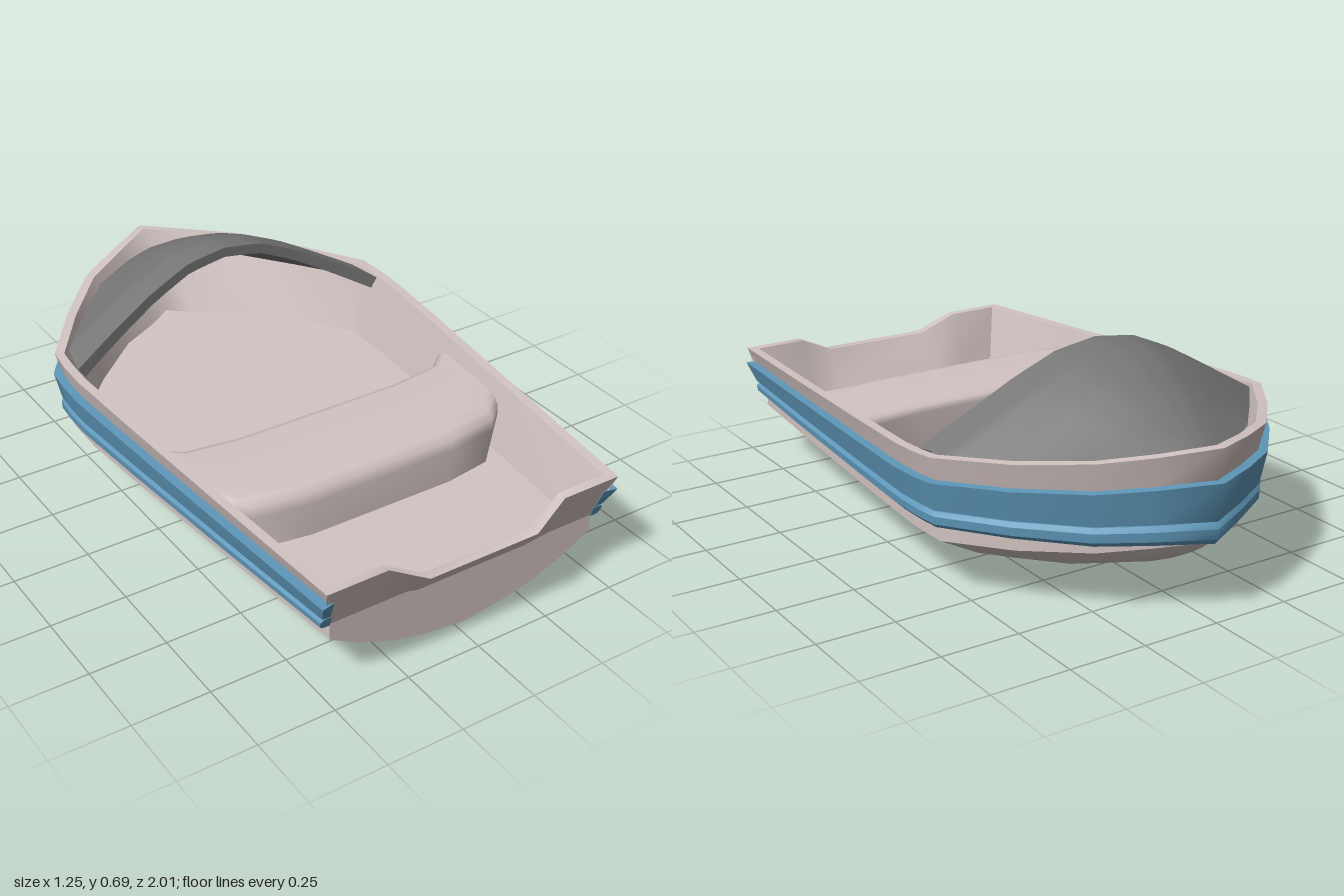
import * as THREE from 'three';

const mat = (color) => new THREE.MeshStandardMaterial({ color, side: THREE.DoubleSide, roughness: 0.8 });
const lerp = THREE.MathUtils.lerp;

// Piecewise linear lookup in [[key, value], ...] with rising keys
function lookup(table, k) {
  for (let i = 1; i < table.length; i++) {
    const [a, va] = table[i - 1], [b, vb] = table[i];
    if (k <= b) return lerp(va, vb, Math.max(0, (k - a) / (b - a)));
  }
  return table[table.length - 1][1];
}

// Smooth surface through rows of [x, y, z] points
function loft(rows) {
  const n = rows[0].length, index = [];
  for (let r = 0; r < rows.length - 1; r++) for (let c = 0; c < n - 1; c++) {
    const a = r * n + c, b = a + n;
    index.push(a, a + 1, b, b, a + 1, b + 1);
  }
  const g = new THREE.BufferGeometry();
  g.setAttribute('position', new THREE.Float32BufferAttribute(rows.flat(2), 3));
  g.setIndex(index);
  g.computeVertexNormals();
  return g;
}

// Gunwale outline from stern to bow: z, half width, height
const outline = [
  [0.97, 0.512, 0.385], [0.5, 0.552, 0.405], [0, 0.594, 0.428], [-0.28, 0.614, 0.44],
  [-0.38, 0.612, 0.445], [-0.46, 0.603, 0.45], [-0.65, 0.465, 0.462], [-0.825, 0.305, 0.485],
  [-0.915, 0.16, 0.502], [-1, 0, 0.525],
];
const rimWidth = (z) => lookup(outline.map((s) => [-s[0], s[1]]), -z);
const rise = (s) => (s[2] - 0.385) / 0.14;
const bow = (s) => Math.max(0, (-s[0] - 0.46) / 0.54);

// One half of the outline, moved inward by d, at height y, ending at sternZ
function halfLayer(d, y, sternZ) {
  return outline.map((s, i) => {
    const a = outline[Math.max(0, i - 1)];
    const b = outline[i + 1] || [a[0], -a[1]];
    const tx = b[1] - a[1], tz = b[0] - a[0], l = Math.hypot(tx, tz);
    const off = typeof d === 'function' ? d(s) : d;
    const x = i === outline.length - 1 ? 0 : s[1] + tz / l * off;
    return [x, y(s), i === 0 ? sternZ : s[0] - tx / l * off];
  });
}
const mirrorX = ([x, y, z]) => [-x, y, z];
const layer = (...args) => {
  const h = halfLayer(...args);
  return [...h, ...h.slice(0, -1).reverse().map(mirrorX)];
};

export function createModel() {
  const boat = new THREE.Group();
  boat.name = 'boat';
  const cream = mat(0xd2c4c2), blue = mat(0x5f98ba), dark = mat(0x777777);
  const add = (name, material, rows) => {
    const m = new THREE.Mesh(loft(rows), material);
    m.name = name;
    boat.add(m);
  };

  // Heights of the side bands
  const yRim = (s) => s[2];
  const yBand = (s) => 0.335 + 0.09 * rise(s);
  const yGap = (s) => 0.272 + 0.033 * rise(s);
  const yLow = (s) => 0.23 + 0.005 * rise(s);
  const yChine = (s) => 0.18 + 0.05 * bow(s) ** 2;
  const yFloor = (s) => 0.2 + 0.06 * bow(s);
  const dFloor = (s) => 0.075 + 0.1 * bow(s);

  // Gunwale, inner lining and floor
  const rimOuter = layer(0, yRim, 0.97), rimInner = layer(0.03, yRim, 0.94);
  add('gunwaleSide', cream, [rimOuter, layer(0.02, yBand, 0.955)]);
  add('gunwaleTop', cream, [rimOuter, rimInner]);
  add('innerLining', cream, [rimInner, layer(dFloor, yFloor, 0.885)]);
  add('floor', cream, halfLayer(dFloor, yFloor, 0.885).map((p) => [mirrorX(p), p]));

  // Blue rub rails: closed sections swept round the hull, capped at the stern
  const rail = (name, section) => {
    const rows = section.map((a) => layer(...a));
    for (let i = 0; i < rows.length; i++) add(name, blue, [rows[i], rows[(i + 1) % rows.length]]);
    for (const end of [0, rows[0].length - 1]) {
      const ring = [...rows, rows[0]].map((r) => r[end]);
      const mid = [0, 1, 2].map((k) => rows.reduce((t, r) => t + r[end][k], 0) / rows.length);
      add(name + 'End', blue, [ring, ring.map(() => mid)]);
    }
  };
  rail('upperRail', [[0.035, yBand, 0.955], [-0.009, yBand, 0.965], [0.012, yGap, 0.932], [0.04, yGap, 0.932]]);
  const drop = (k) => (s) => lerp(yGap(s) - 0.006, yLow(s), k);
  rail('lowerRail', [[0.045, drop(0), 0.93], [0.02, drop(0), 0.93], [0.009, drop(0.25), 0.928],
    [0.011, drop(0.75), 0.922], [0.022, drop(1), 0.92], [0.045, drop(1), 0.92]]);

  // Lower side strip and vee bottom
  add('hullSide', cream, [layer(0.045, (s) => yGap(s), 0.92), layer(0.045, yChine, 0.92)]);
  const keel = [[-0.92, 0.035], [-0.3, 0.012], [0, 0.003], [0.33, 0], [0.46, 0.016],
    [0.65, 0.064], [0.8, 0.125], [0.9, 0.185], [0.955, 0.23]];
  const vee = [[1, 1], [0.78, 0.6], [0.55, 0.31], [0.28, 0.11], [0, 0]];
  const veeFull = [...vee, ...vee.slice(0, -1).reverse().map(([u, v]) => [-u, v])];
  const bottom = halfLayer(0.045, yChine, 0.92).map(([x, y, z]) =>
    veeFull.map(([u, v]) => [u * x, lerp(lookup(keel, -z), y, v), z]));
  add('hullBottom', cream, bottom);

  // Transom with a lowered, bulging middle
  const transomRow = (w, ySide, yMid, zSide, zMid) => {
    const half = [[w, ySide, zSide], [0.31, ySide, zSide], [0.19, yMid, zMid]];
    return [...half, ...half.slice().reverse().map(mirrorX)];
  };
  const topOuter = transomRow(0.512, 0.385, 0.325, 0.97, 1);
  const topInner = transomRow(0.482, 0.385, 0.325, 0.94, 0.968);
  add('transomUpper', cream, [topOuter, transomRow(0.488, 0.272, 0.25, 0.93, 0.945),
    transomRow(0.475, 0.235, 0.235, 0.92, 0.92)]);
  add('transomTop', cream, [topOuter, topInner]);
  add('transomInside', cream, [topInner, transomRow(0.437, 0.2, 0.2, 0.885, 0.885)]);
  add('transomLower', cream, [bottom[0].map(([x, , z]) => [x, 0.235, z]), bottom[0]]);

  // Bench across the cockpit, swept forward at its ends
  const benchProfile = [[0.515, 0.2], [0.512, 0.31], [0.5, 0.34], [0.475, 0.358], [0.44, 0.365],
    [0.3, 0.365], [0.185, 0.365], [0.162, 0.358], [0.152, 0.34], [0.15, 0.2]];
  const sweep = [[-1, -0.09], [-0.86, -0.025], [-0.52, 0], [0, 0], [0.52, 0], [0.86, -0.025], [1, -0.09]];
  add('bench', cream, benchProfile.map(([z, y]) => sweep.map(([u, dz]) => {
    const w = rimWidth(z - 0.09) - 0.075 + 0.045 * (y - 0.2) / 0.2;
    return [u * w, y, z + dz];
  })));

  // Domed windscreen over the bow
  const crown = [[0, 0.69], [0.2, 0.68], [0.43, 0.64], [0.67, 0.575], [0.85, 0.52], [1, 0.475]];
  const plan = [[0, 0.578], [0.21, 0.553], [0.47, 0.425], [0.76, 0.275], [0.92, 0.12], [1, 0]];
  const arch = [[0, 1], [0.24, 0.92], [0.48, 0.68], [0.73, 0.36], [1, 0]];
  const shell = (inset) => {
    const rows = [];
    for (let j = 0; j <= 25; j++) {
      const v = j / 25, row = [];
      for (let i = -12; i <= 12; i++) {
        const u = i / 12, base = lerp(0.44, 0.475, v);
        const y = lerp(base, lookup(crown, v), lookup(arch, Math.abs(u)));
        row.push([u * lookup(plan, v) * (1 - inset), y - inset * 0.85, lerp(-0.4 + 0.055 * u * u, -0.915, v)]);
      }
      rows.push(row);
    }
    return rows;
  };
  const outer = shell(0), inner = shell(0.04);
  add('windscreen', dark, outer);
  add('windscreenInside', dark, inner);
  add('windscreenEdge', dark, [outer[0], inner[0]]);
  return boat;
}
